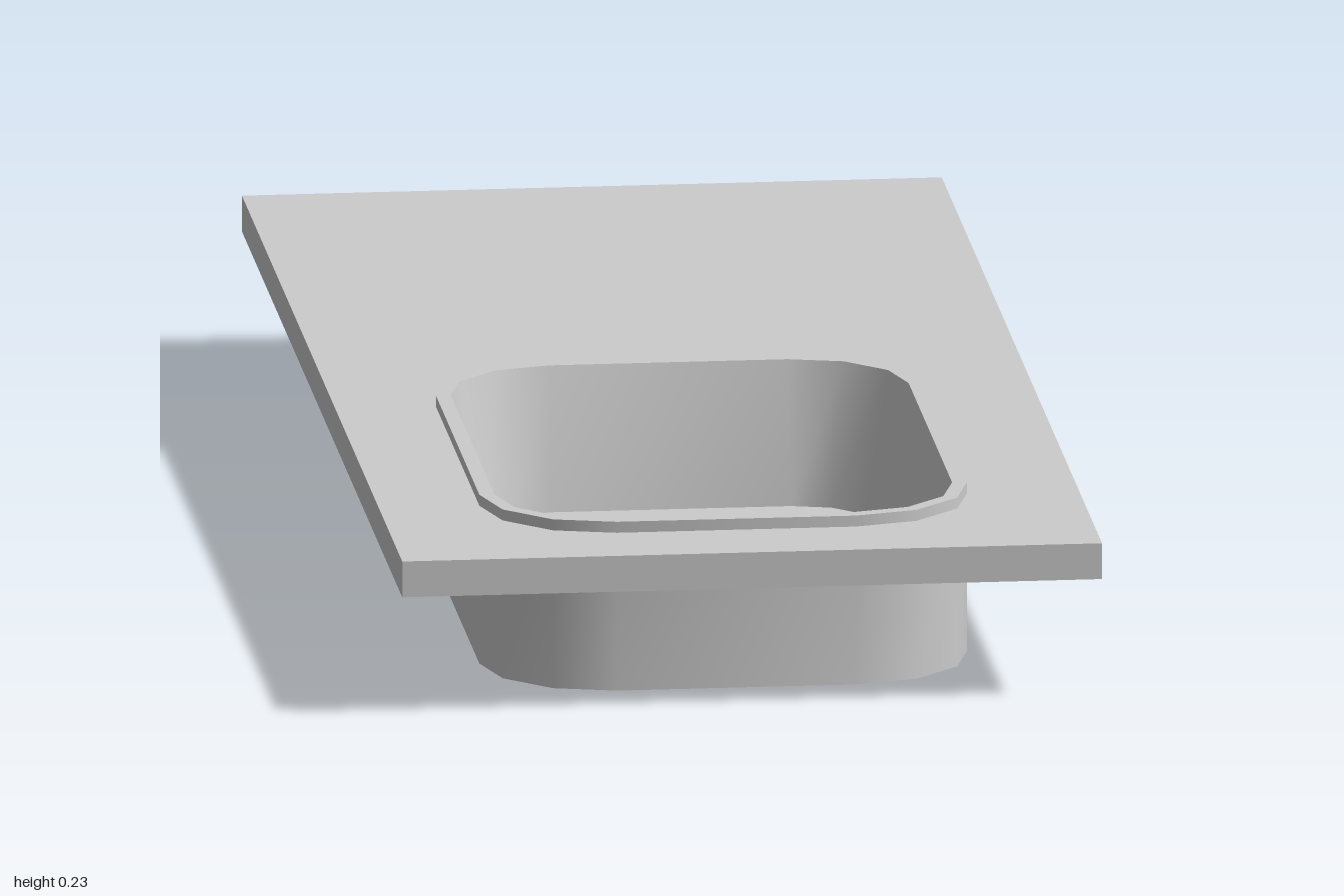
import * as THREE from 'three';
import { toCreasedNormals } from 'three/addons/utils/BufferGeometryUtils.js';

const TOP = 0.216, THICK = 0.049;            // worktop surface and thickness
const CX = -0.0075, CZ = 0.4375;             // basin centre
const HALF_X = 0.3255, HALF_Z = 0.4375, RADIUS = 0.166;
const STEPS = 3;                             // facets per rounded corner

// Rounded rectangle in plan; insetting shrinks the corner radius about fixed centres
function outline(inset) {
  const points = [];
  const signs = [[1, 1], [-1, 1], [-1, -1], [1, -1]];
  signs.forEach(([sx, sz], corner) => {
    for (let i = 0; i <= STEPS; i++) {
      const a = (corner + i / STEPS) * Math.PI / 2;
      points.push(new THREE.Vector2(
        CX + sx * (HALF_X - RADIUS) + (RADIUS - inset) * Math.cos(a),
        CZ + sz * (HALF_Z - RADIUS) + (RADIUS - inset) * Math.sin(a)));
    }
  });
  return points;
}

// Skin a stack of [inset, height] sections and close both ends
function loftBasin(sections) {
  const positions = [], index = [];
  const n = 4 * (STEPS + 1);
  for (const [inset, y] of sections) {
    for (const p of outline(inset)) positions.push(p.x, y, p.y);
  }
  const last = sections.length - 1;
  const under = sections.length * n, floor = under + 1;
  positions.push(CX, sections[0][1], CZ, CX, sections[last][1], CZ);
  for (let j = 0; j < n; j++) {
    const k = (j + 1) % n;
    for (let i = 0; i < last; i++) {
      const a = i * n + j, b = i * n + k, c = a + n, d = b + n;
      index.push(a, c, b, b, c, d);
    }
    index.push(under, j, k, floor, last * n + k, last * n + j);
  }
  const geometry = new THREE.BufferGeometry();
  geometry.setAttribute('position', new THREE.Float32BufferAttribute(positions, 3));
  geometry.setIndex(index);
  return toCreasedNormals(geometry, 0.7);
}

export function createModel() {
  const model = new THREE.Group();
  model.name = 'washbasinCounter';
  const material = new THREE.MeshStandardMaterial({ color: 0xcccccc });

  // Flat worktop with a cut-out for the basin
  const slab = new THREE.Shape([
    new THREE.Vector2(-0.467, -1), new THREE.Vector2(0.467, -1),
    new THREE.Vector2(0.467, 1), new THREE.Vector2(-0.467, 1),
  ]);
  slab.holes.push(new THREE.Path(outline(0.005)));
  const slabGeometry = new THREE.ExtrudeGeometry(slab, { depth: THICK, bevelEnabled: false });
  slabGeometry.rotateX(Math.PI / 2);
  const worktop = new THREE.Mesh(slabGeometry, material);
  worktop.name = 'worktop';
  worktop.position.y = TOP;
  model.add(worktop);

  // Basin: straight outer wall, narrow raised rim, tapering inner wall, flat floor
  const basin = new THREE.Mesh(
    loftBasin([[0, 0], [0, 0.231], [0.02, 0.231], [0.06, 0.04]]), material);
  basin.name = 'basin';
  model.add(basin);

  return model;
}
